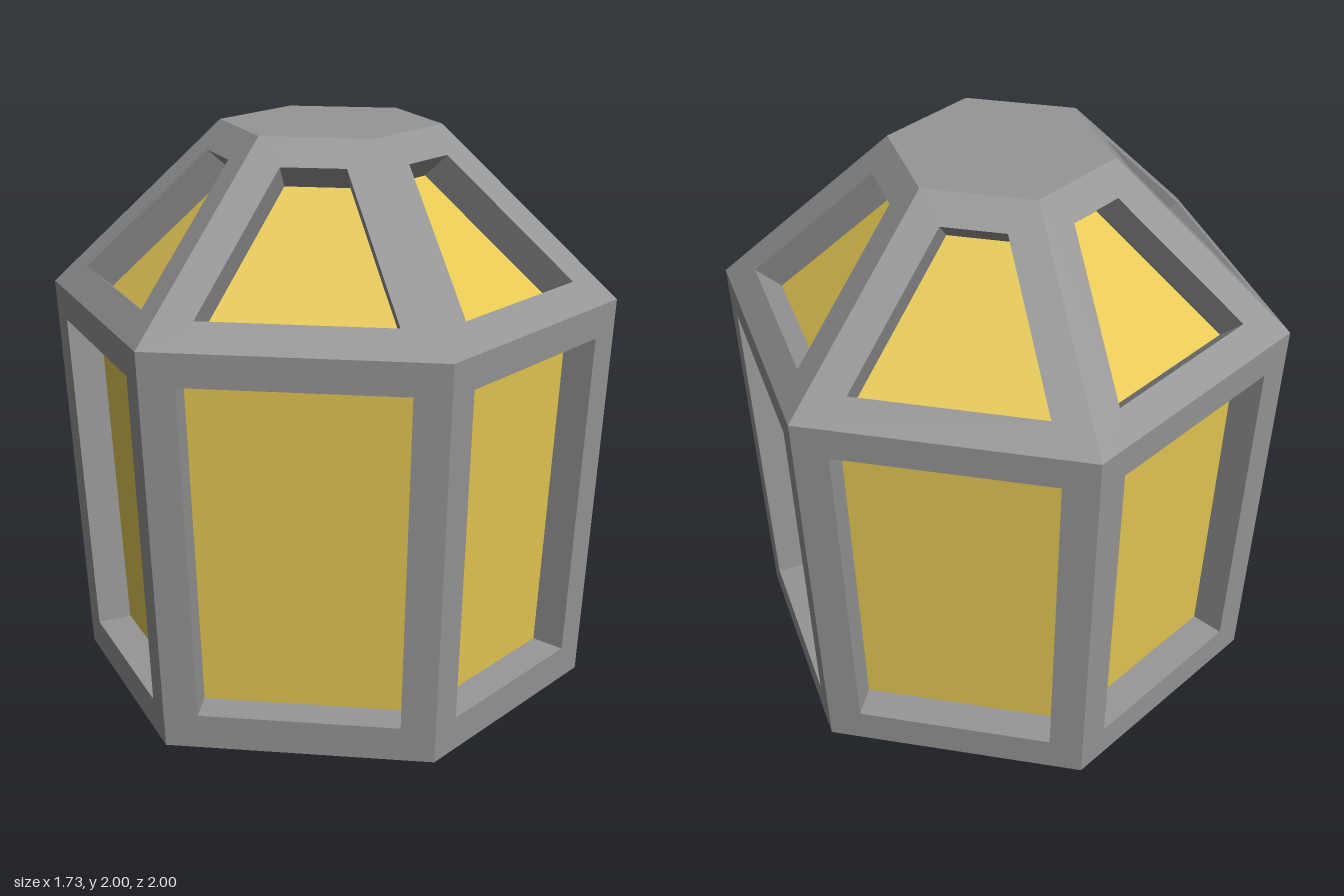
import * as THREE from 'three';

const SIDES = 6;
const APOTHEM = Math.cos(Math.PI / SIDES);
const DEPTH = 0.12; // how far the panes sit behind the frame

// Cross-section: bottom, eaves and top of the hexagonal body
const BOTTOM = { r: 0.91, y: 0 };
const EAVES = { r: 1.0, y: 1.405 };
const TOP = { r: 0.385, y: 2.0 };

function quadGeometry(quads) {
  const pos = [];
  for (const [a, b, c, d] of quads) {
    for (const p of [a, b, c, a, c, d]) pos.push(p.x, p.y, p.z);
  }
  const g = new THREE.BufferGeometry();
  g.setAttribute('position', new THREE.Float32BufferAttribute(pos, 3));
  g.computeVertexNormals();
  return g;
}

// One sloping side facing +z: a frame with a recessed opening, and its pane
function sidePanel(name, lo, hi, hole, frameMat, glassMat) {
  const zAt = (y) => APOTHEM * THREE.MathUtils.mapLinear(y, lo.y, hi.y, lo.r, hi.r);
  // corners: bottom left, bottom right, top right, top left
  const corners = (y0, w0, y1, w1) => [[-w0, y0], [w0, y0], [w1, y1], [-w1, y1]]
    .map(([x, y]) => new THREE.Vector3(x, y, zAt(y)));

  const outer = corners(lo.y, lo.r / 2, hi.y, hi.r / 2);
  const rim = corners(hole.y0, hole.w0, hole.y1, hole.w1);
  const inward = new THREE.Vector3(0, zAt(lo.y) - zAt(hi.y), hi.y - lo.y)
    .normalize().multiplyScalar(-DEPTH);
  const deep = rim.map((p) => p.clone().add(inward));

  const quads = [];
  for (const [a, b] of [[outer, rim], [rim, deep]]) {
    for (let i = 0; i < 4; i++) {
      const j = (i + 1) % 4;
      quads.push([a[i], a[j], b[j], b[i]]);
    }
  }
  const frame = new THREE.Mesh(quadGeometry(quads), frameMat);
  frame.name = name + 'Frame';
  const pane = new THREE.Mesh(quadGeometry([deep]), glassMat);
  pane.name = name + 'Pane';
  const panel = new THREE.Group();
  panel.name = name;
  panel.add(frame, pane);
  return panel;
}

export function createModel() {
  const metal = new THREE.MeshStandardMaterial({ color: 0x969696 });
  metal.name = 'grey metal';
  const glass = new THREE.MeshStandardMaterial({ color: 0xe6c853 });
  glass.name = 'amber glass';

  const lantern = new THREE.Group();
  lantern.name = 'lantern';

  // Six walls and six roof slopes
  const wallHole = { y0: 0.12, w0: 0.342, y1: 1.29, w1: 0.375 };
  const roofHole = { y0: 1.49, w0: 0.326, y1: 1.913, w1: 0.11 };
  for (let i = 0; i < SIDES; i++) {
    const side = new THREE.Group();
    side.name = 'side' + (i + 1);
    side.add(
      sidePanel('wall', BOTTOM, EAVES, wallHole, metal, glass),
      sidePanel('roof', EAVES, TOP, roofHole, metal, glass),
    );
    side.rotation.y = ((i + 0.5) * 2 * Math.PI) / SIDES;
    lantern.add(side);
  }

  // Flat hexagons closing the top and the bottom
  for (const [name, level, dir] of [['topCap', TOP, -1], ['baseCap', BOTTOM, 1]]) {
    const g = new THREE.CircleGeometry(level.r, SIDES, Math.PI / SIDES);
    g.rotateX((dir * Math.PI) / 2);
    const cap = new THREE.Mesh(g, metal);
    cap.name = name;
    cap.position.y = level.y;
    lantern.add(cap);
  }
  return lantern;
}
